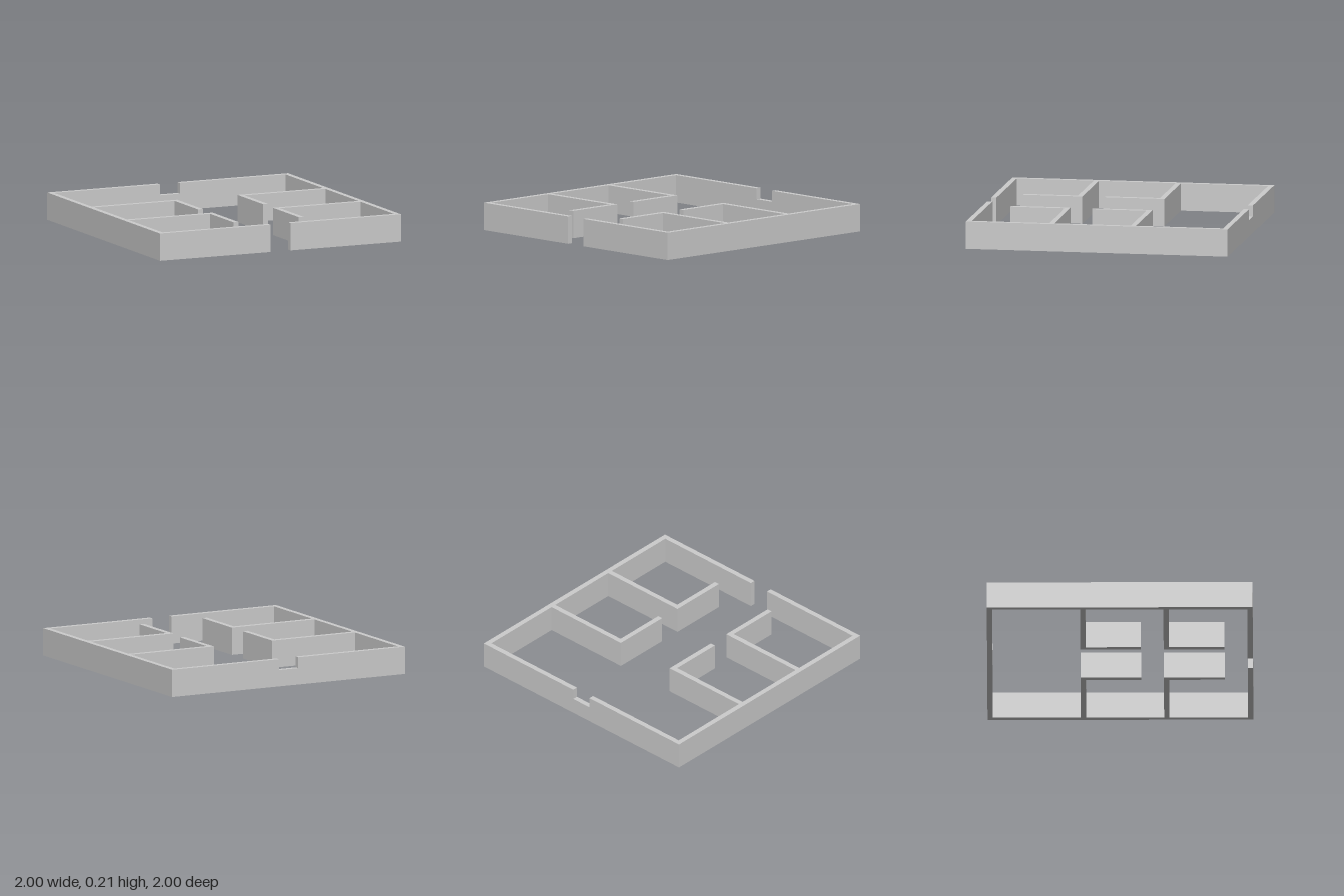
import * as THREE from 'three';

const H = 0.208;        // wall height
const T = 0.04;         // wall thickness
const GAP = 0.083;      // half width of the doorway and of the rear sill
const SILL = 0.125;     // height of the low rear wall section
const INNER = 0.25;     // corridor side of the room partitions
const ROOMS = [{ z: -0.295, end: 0.16 }, { z: 0.33, end: 0.787 }];

// Plan outline of one half: outer walls plus the L-shaped room partitions
function halfPlan(side) {
  const inside = 1 - T;
  const pts = [[GAP, -1], [1, -1], [1, 1], [GAP, 1], [GAP, inside], [inside, inside]];
  for (const { z, end } of [...ROOMS].reverse()) {
    pts.push(
      [inside, z + T], [INNER + T, z + T], [INNER + T, end],
      [INNER, end], [INNER, z], [inside, z]
    );
  }
  pts.push([inside, -inside], [GAP, -inside]);
  return new THREE.Shape(pts.map(([x, z]) => new THREE.Vector2(side * x, -z)));
}

export function createModel() {
  const group = new THREE.Group();
  group.name = 'floorPlanWalls';
  const material = new THREE.MeshStandardMaterial({ color: 0xcccccc });

  // Mirrored wall halves
  for (const [side, name] of [[1, 'leftWalls'], [-1, 'rightWalls']]) {
    const geometry = new THREE.ExtrudeGeometry(halfPlan(side), { depth: H, bevelEnabled: false });
    geometry.rotateX(-Math.PI / 2);
    const walls = new THREE.Mesh(geometry, material);
    walls.name = name;
    group.add(walls);
  }

  // Low wall section under the rear opening
  const sill = new THREE.Mesh(new THREE.BoxGeometry(2 * GAP, SILL, T), material);
  sill.name = 'rearWindowSill';
  sill.position.set(0, SILL / 2, -1 + T / 2);
  group.add(sill);

  return group;
}
